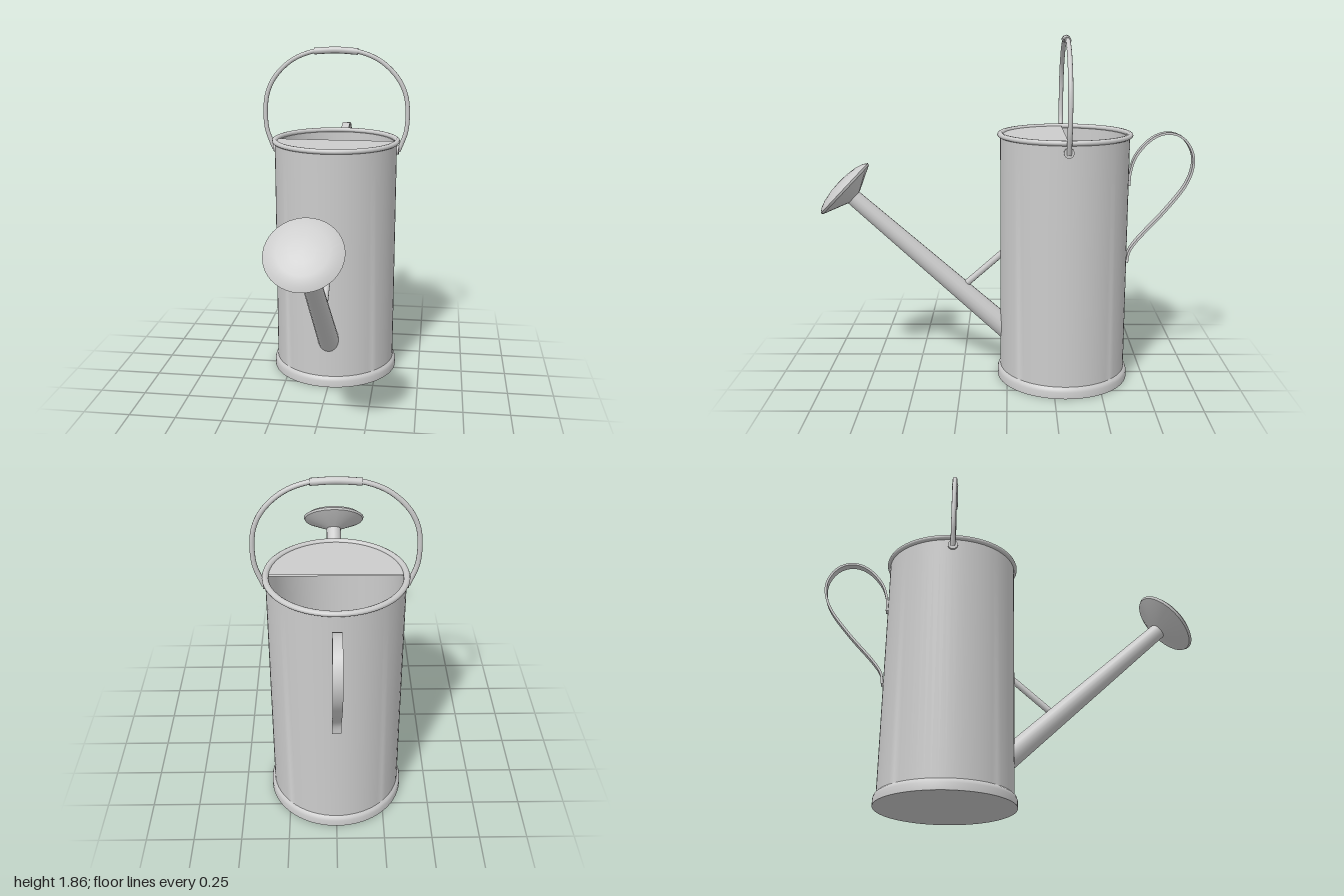
import * as THREE from 'three';
import { toCreasedNormals } from 'three/addons/utils/BufferGeometryUtils.js';

const material = new THREE.MeshStandardMaterial({ color: 0xcccccc });
const thinMaterial = new THREE.MeshStandardMaterial({ color: 0xcccccc, side: THREE.DoubleSide });
const CENTER_Z = -0.305; // axis of the can
const UP = new THREE.Vector3(0, 1, 0);
const v2 = ([a, b]) => new THREE.Vector2(a, b);

function add(parent, name, geometry, mat = material) {
  const mesh = new THREE.Mesh(geometry, mat);
  mesh.name = name;
  parent.add(mesh);
  return mesh;
}

// Turned part with crisp edges where the profile bends sharply
function lathe(profile, segments) {
  return toCreasedNormals(new THREE.LatheGeometry(profile.map(v2), segments), 0.6);
}

// Tapered round bar between two points in the x = 0 plane, given as [y, z]
function bar(parent, name, from, to, r0, r1, segments) {
  const a = new THREE.Vector3(0, ...from);
  const b = new THREE.Vector3(0, ...to);
  const dir = b.clone().sub(a);
  const mesh = add(parent, name, new THREE.CylinderGeometry(r1, r0, dir.length(), segments));
  mesh.position.copy(a).add(b).multiplyScalar(0.5);
  mesh.quaternion.setFromUnitVectors(UP, dir.normalize());
}

// Flat strap following a curve in the side plane, points given as [z, y]
function strap(points, thickness, width) {
  const curve = new THREE.SplineCurve(points.map(v2));
  const outer = [], inner = [];
  const steps = 48;
  for (let i = 0; i <= steps; i++) {
    const p = curve.getPointAt(i / steps);
    const t = curve.getTangentAt(i / steps);
    const n = new THREE.Vector2(-t.y, t.x).multiplyScalar(thickness / 2);
    outer.push(p.clone().add(n));
    inner.unshift(p.clone().sub(n));
  }
  const geo = new THREE.ExtrudeGeometry(new THREE.Shape([...outer, ...inner]), { depth: width, bevelEnabled: false });
  geo.translate(0, 0, -width / 2);
  geo.rotateY(-Math.PI / 2);
  return toCreasedNormals(geo, 0.6);
}

export function createModel() {
  const model = new THREE.Group();
  model.name = 'wateringCan';

  // Hollow can with flared foot and rolled rim
  const can = new THREE.Group();
  can.name = 'can';
  can.position.z = CENTER_Z;
  model.add(can);
  add(can, 'body', lathe([
    [0, 0], [0.358, 0], [0.358, 0.035], [0.353, 0.05], [0.342, 0.06],
    [0.342, 1.335], [0.328, 1.335], [0.312, 0.04], [0, 0.04],
  ], 64));
  const rim = add(can, 'rim', new THREE.TorusGeometry(0.342, 0.016, 10, 64));
  rim.rotation.x = Math.PI / 2;
  rim.scale.z = 0.85;
  rim.position.y = 1.345;

  // Half cover over the front of the opening
  const cover = add(can, 'halfCover',
    new THREE.CylinderGeometry(0.335, 0.335, 0.008, 32, 1, false, -Math.PI / 2, Math.PI), thinMaterial);
  cover.position.y = 1.342;

  // Carrying handle arched across the can, with a thicker grip
  const half = [[0.35, 1.29], [0.368, 1.335], [0.39, 1.4], [0.397, 1.51], [0.382, 1.61],
    [0.335, 1.7], [0.24, 1.787], [0.12, 1.834]];
  const arch = [
    ...half.map(([x, y]) => new THREE.Vector3(-x, y, 0)),
    new THREE.Vector3(0, 1.841, 0),
    ...half.map(([x, y]) => new THREE.Vector3(x, y, 0)).reverse(),
  ];
  add(can, 'carryingHandle', new THREE.TubeGeometry(new THREE.CatmullRomCurve3(arch), 80, 0.0125, 10));
  const gripCurve = new THREE.CatmullRomCurve3([
    new THREE.Vector3(-0.12, 1.834, 0), new THREE.Vector3(0, 1.841, 0), new THREE.Vector3(0.12, 1.834, 0),
  ]);
  add(can, 'grip', new THREE.TubeGeometry(gripCurve, 12, 0.018, 12));
  for (const side of [-1, 1]) {
    const end = add(can, 'gripEnd', new THREE.CircleGeometry(0.018, 12));
    end.position.set(side * 0.12, 1.834, 0);
    end.rotation.y = side * Math.PI / 2;
    // Flattened eye that fixes the handle to the wall
    const eye = add(can, 'handleEye', new THREE.CylinderGeometry(0.026, 0.026, 0.014, 16));
    eye.rotation.z = Math.PI / 2;
    eye.position.set(side * 0.346, 1.298, 0);
  }

  // Looped strap handle at the back
  add(model, 'backHandle', strap([
    [-0.652, 1.07], [-0.655, 1.14], [-0.687, 1.235], [-0.767, 1.322], [-0.858, 1.351], [-0.943, 1.312],
    [-0.989, 1.21], [-0.957, 1.08], [-0.847, 0.93], [-0.713, 0.78], [-0.662, 0.706], [-0.652, 0.645],
  ], 0.012, 0.046));

  // Spout and its brace
  bar(model, 'spout', [0.24, -0.02], [1.01, 0.835], 0.06, 0.043, 16);
  bar(model, 'spoutBrace', [0.7, 0.02], [0.51, 0.235], 0.018, 0.018, 10);

  // Sprinkler head: cone behind, shallow dome in front
  const head = add(model, 'sprinklerHead', lathe([
    [0, -0.075], [0.045, -0.07], [0.178, -0.012], [0.184, 0],
    [0.16, 0.017], [0.12, 0.031], [0.06, 0.041], [0, 0.044],
  ], 40));
  head.position.set(0, 1.053, 0.873);
  head.quaternion.setFromUnitVectors(UP, new THREE.Vector3(0, 0.69, 0.72).normalize());

  return model;
}
